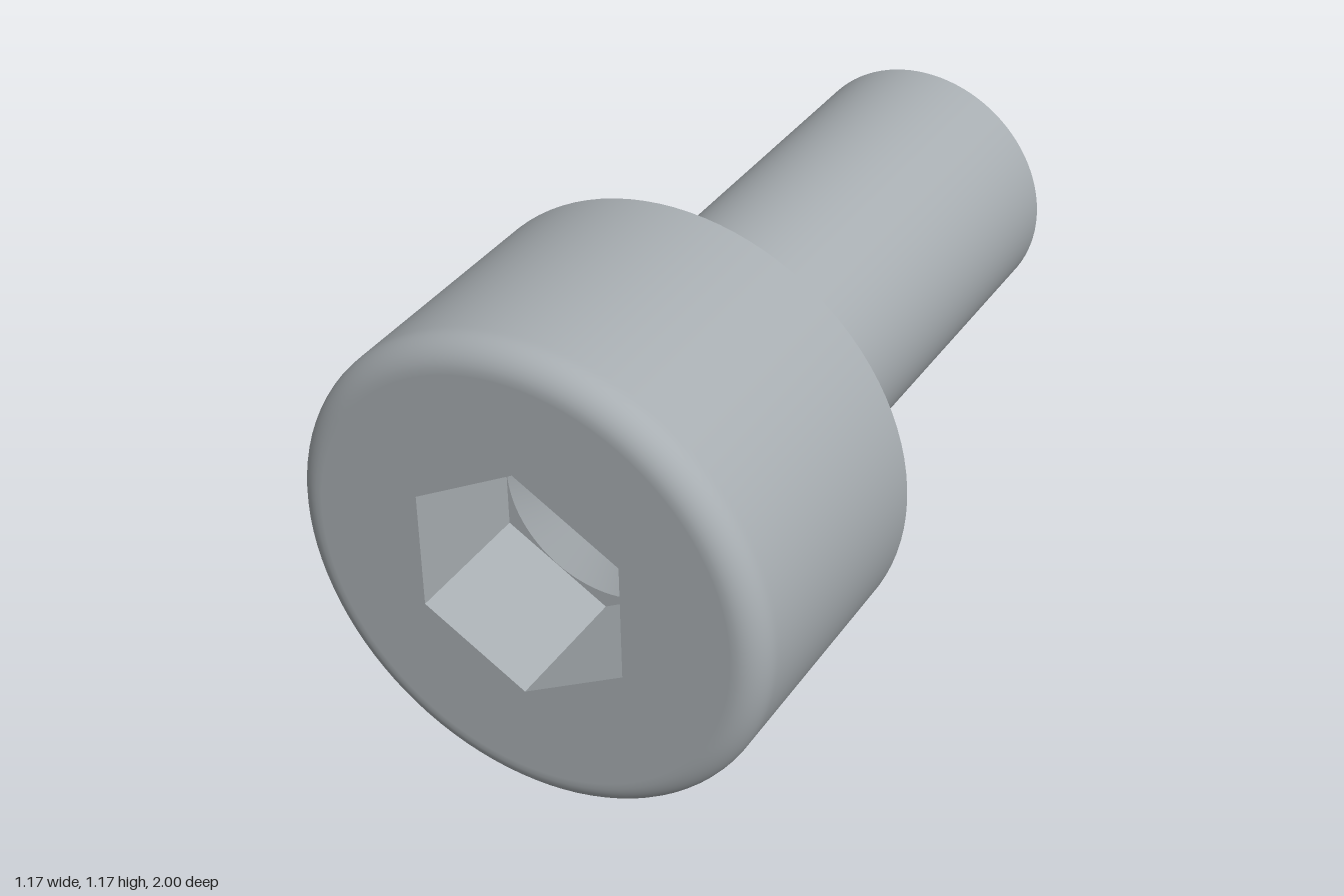
import * as THREE from 'three';

const SEG = 96;
const AXIS_Y = 0.583; // height of the screw axis
const HEAD_R = 0.583, SHANK_R = 0.333, ROUND = 0.067;
const HEX_R = 0.29, DRILL_R = 0.25;
const FACE_Z = 1, FLOOR_Z = 0.667, SEAT_Z = 0.333;

export function createModel() {
  const steel = new THREE.MeshStandardMaterial({ color: 0xa8aeb2 });
  steel.name = 'steel grey';

  const screw = new THREE.Group();
  screw.name = 'socketHeadScrew';
  const add = (name, geometry) => {
    const mesh = new THREE.Mesh(geometry, steel);
    mesh.name = name;
    mesh.position.y = AXIS_Y;
    screw.add(mesh);
  };

  // Surface of revolution about z from [radius, z] pairs; back to front faces outward
  const turned = (name, profile) => {
    const points = profile.map(([r, z]) => new THREE.Vector2(r, z));
    add(name, new THREE.LatheGeometry(points, SEG).rotateX(Math.PI / 2));
  };

  const hexPoints = () => Array.from({ length: 6 }, (_, i) => {
    const a = Math.PI / 2 + i * Math.PI / 3;
    return new THREE.Vector2(HEX_R * Math.cos(a), HEX_R * Math.sin(a));
  });

  // Shank with chamfered tip
  turned('tipFace', [[0, -1], [0.27, -1]]);
  turned('tipChamfer', [[0.27, -1], [SHANK_R, -0.937]]);
  turned('shank', [[SHANK_R, -0.937], [SHANK_R, 0.21], [SHANK_R, 0.228]]);

  // Flared neck, curling out to meet the head
  turned('neck', [[SHANK_R, 0.228], [0.338, 0.24], [0.376, 0.305],
    [0.383, 0.317], [0.391, 0.327], [0.402, SEAT_Z]]);

  // Head: bearing face, then side with a rounded front edge
  turned('headUnderside', [[0.402, SEAT_Z], [HEAD_R, SEAT_Z]]);
  const side = [[HEAD_R, SEAT_Z], [HEAD_R, FACE_Z - ROUND - 0.01]];
  for (let i = 0; i <= 10; i++) {
    const a = i / 10 * Math.PI / 2;
    side.push([HEAD_R - ROUND + ROUND * Math.cos(a), FACE_Z - ROUND + ROUND * Math.sin(a)]);
  }
  side.push([HEAD_R - ROUND - 0.005, FACE_Z]);
  turned('headSide', side);

  // Front face with hexagonal opening
  const face = new THREE.Shape();
  face.absarc(0, 0, HEAD_R - ROUND - 0.005, 0, Math.PI * 2);
  face.holes.push(new THREE.Path(hexPoints()));
  add('headFace', new THREE.ShapeGeometry(face, SEG / 2).translate(0, 0, FACE_Z));

  // Socket walls, turned to face inward
  const depth = FACE_Z - FLOOR_Z;
  const walls = new THREE.CylinderGeometry(HEX_R, HEX_R, depth, 6, 1, true)
    .rotateX(Math.PI / 2).scale(-1, 1, 1)
    .translate(0, 0, FLOOR_Z + depth / 2).toNonIndexed();
  walls.computeVertexNormals();
  add('socketWalls', walls);

  // Socket floor with conical drill point
  const floor = new THREE.Shape(hexPoints());
  const hole = new THREE.Path();
  hole.absarc(0, 0, DRILL_R, 0, Math.PI * 2);
  floor.holes.push(hole);
  add('socketFloor', new THREE.ShapeGeometry(floor, SEG / 2).translate(0, 0, FLOOR_Z));
  turned('socketCone', [[DRILL_R, FLOOR_Z], [0, FLOOR_Z - 0.144]]);

  return screw;
}
